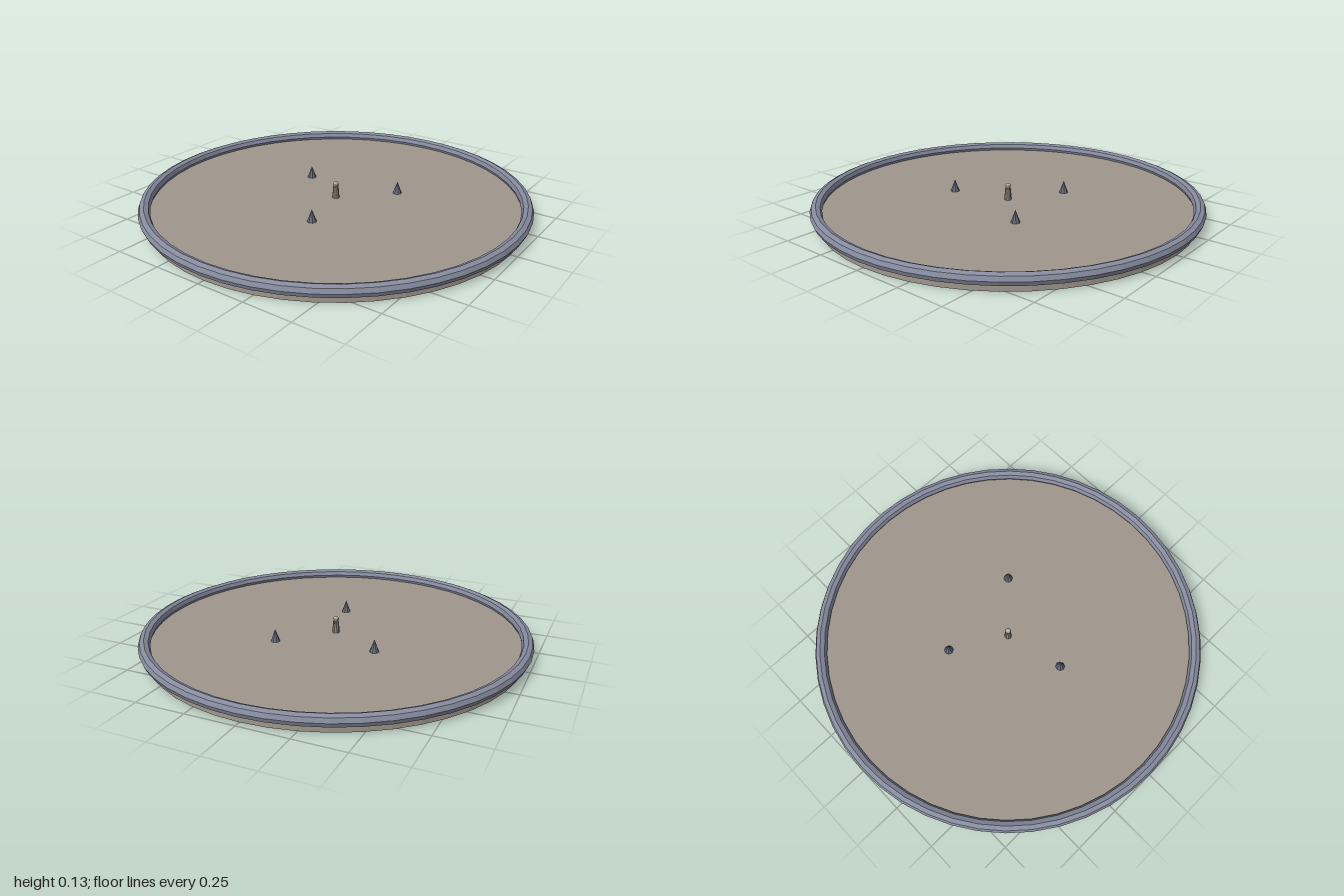
import * as THREE from 'three';

const mat = (name, color) => {
  const m = new THREE.MeshStandardMaterial({ color, flatShading: true });
  m.name = name;
  return m;
};

export function createModel() {
  const group = new THREE.Group();
  const stone = mat('warm stone', 0x9f978d);
  const slate = mat('slate blue', 0x868b9e);
  const spike = mat('dark slate', 0x666b7c);
  const cloth = mat('figure grey', 0x8a857e);
  const pale = mat('pale head', 0xb5aea4);

  const add = (name, geometry, material, x, y, z) => {
    const mesh = new THREE.Mesh(geometry, material);
    mesh.name = name;
    mesh.position.set(x, y, z);
    group.add(mesh);
    return mesh;
  };

  // Arena floor and its raised round rim
  const floorTop = 0.043;
  add('floorDisc', new THREE.CylinderGeometry(0.967, 0.967, floorTop, 48), stone, 0, floorTop / 2, 0);
  const rim = new THREE.TorusGeometry(0.97, 0.03, 8, 48).rotateX(Math.PI / 2);
  add('rim', rim, slate, 0, 0.058, 0);

  // Three spikes around the centre
  const height = 0.064;
  [[0.23, -0.235], [-0.275, -0.158], [0.075, 0.307]].forEach(([x, z]) => {
    add('spike', new THREE.ConeGeometry(0.024, height, 8), spike, x, floorTop + height / 2, z);
  });

  // Small standing figure: body, head and a pointer facing the back
  add('figureBody', new THREE.CylinderGeometry(0.015, 0.019, 0.06, 10), cloth, 0, floorTop + 0.03, 0);
  add('figureHead', new THREE.SphereGeometry(0.015, 10, 8), pale, 0, 0.116, 0);
  const pointer = new THREE.ConeGeometry(0.005, 0.014, 6).rotateX(-Math.PI / 2);
  add('figurePointer', pointer, spike, 0, 0.1, -0.018);

  return group;
}
